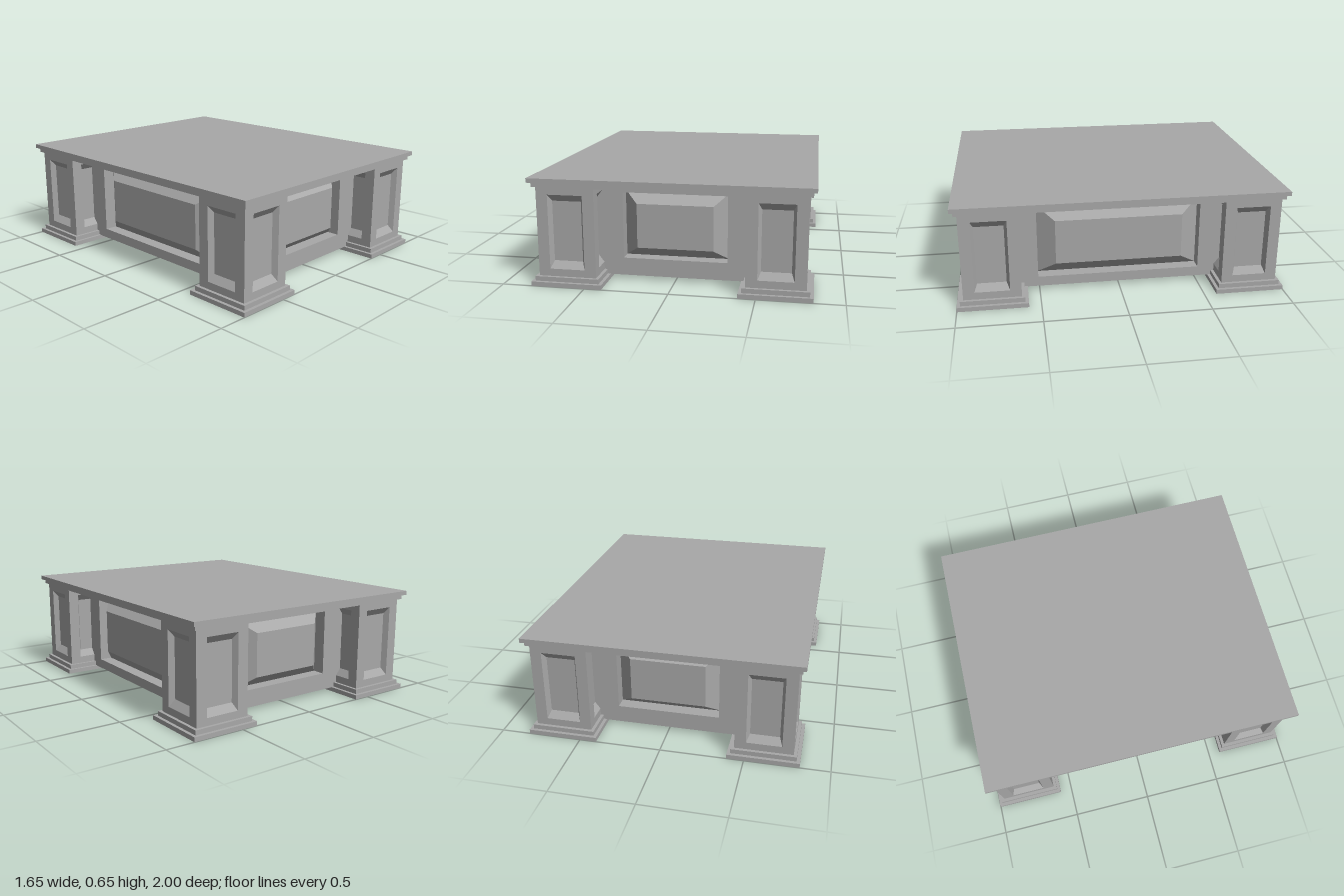
import * as THREE from 'three';

const grey = new THREE.MeshStandardMaterial({ color: 0xa8a8a8, side: THREE.DoubleSide });
grey.name = 'plain grey';

// Flat-faced sheet facing +z, joined from nested rectangles and closed in the middle.
// Each rectangle is [halfWidth, bottom, top, z].
function panelSheet(...rects) {
  const loops = rects.map(([w, b, t, z]) => [[-w, b, z], [w, b, z], [w, t, z], [-w, t, z]]);
  const pos = [];
  const quad = (a, b, c, d) => pos.push(...a, ...b, ...c, ...a, ...c, ...d);
  for (let k = 0; k < loops.length - 1; k++) {
    for (let i = 0; i < 4; i++) {
      const j = (i + 1) % 4;
      quad(loops[k][i], loops[k][j], loops[k + 1][j], loops[k + 1][i]);
    }
  }
  quad(...loops[loops.length - 1]);
  const g = new THREE.BufferGeometry();
  g.setAttribute('position', new THREE.Float32BufferAttribute(pos, 3));
  g.computeVertexNormals();
  return g;
}

function add(parent, name, geometry, x = 0, y = 0, z = 0, turn = 0) {
  const m = new THREE.Mesh(geometry, grey);
  m.name = name;
  m.position.set(x, y, z);
  m.rotation.y = turn;
  parent.add(m);
}

// Rectangular slab between two heights
function slab(parent, name, halfX, halfZ, y0, y1) {
  add(parent, name, new THREE.BoxGeometry(halfX * 2, y1 - y0, halfZ * 2), 0, (y0 + y1) / 2, 0);
}

// Rectangular moulding with an open middle
function ring(parent, name, halfX, halfZ, inX, inZ, y0, y1) {
  const rect = (C, x, z) => {
    const s = new C();
    s.moveTo(-x, -z).lineTo(x, -z).lineTo(x, z).lineTo(-x, z).closePath();
    return s;
  };
  const shape = rect(THREE.Shape, halfX, halfZ);
  shape.holes.push(rect(THREE.Path, inX, inZ));
  const g = new THREE.ExtrudeGeometry(shape, { depth: y1 - y0, bevelEnabled: false });
  g.rotateX(-Math.PI / 2);
  add(parent, name, g, 0, y0, 0);
}

function makeLeg() {
  const leg = new THREE.Group();
  leg.name = 'leg';
  // Stepped foot and matching stepped collar
  slab(leg, 'footLower', 0.2125, 0.2125, 0, 0.027);
  slab(leg, 'footUpper', 0.1925, 0.1925, 0.027, 0.055);
  slab(leg, 'collarLower', 0.1925, 0.1925, 0.595, 0.623);
  slab(leg, 'collarUpper', 0.2125, 0.2125, 0.623, 0.645);
  // Four sides with sunken panels
  const side = panelSheet(
    [0.173, 0.055, 0.595, 0], [0.105, 0.1, 0.548, 0], [0.087, 0.143, 0.506, -0.033]);
  for (let i = 0; i < 4; i++) {
    const a = i * Math.PI / 2;
    add(leg, 'legSide', side, Math.sin(a) * 0.173, 0, Math.cos(a) * 0.173, a);
  }
  return leg;
}

export function createModel() {
  const table = new THREE.Group();
  table.name = 'table';

  // Table top with stepped edge moulding
  slab(table, 'topPlate', 0.823, 1, 0.645, 0.649);
  ring(table, 'upperMoulding', 0.823, 1, 0.609, 0.787, 0.623, 0.645);
  ring(table, 'lowerMoulding', 0.803, 0.98, 0.609, 0.787, 0.595, 0.623);

  // Legs at the four corners
  for (const sx of [-1, 1]) {
    for (const sz of [-1, 1]) {
      const leg = makeLeg();
      leg.position.set(sx * 0.6105, 0, sz * 0.7875);
      table.add(leg);
    }
  }

  // Aprons: a framed opening steps straight in, then a bevelled panel rises back out
  const step = -0.08;
  const shortApron = panelSheet(
    [0.47, 0.025, 0.645, 0], [0.315, 0.133, 0.538, 0], [0.315, 0.133, 0.538, step], [0.23, 0.2, 0.471, 0]);
  const longApron = panelSheet(
    [0.647, 0.025, 0.645, 0], [0.507, 0.087, 0.536, 0], [0.507, 0.087, 0.536, step], [0.395, 0.17, 0.454, 0]);
  add(table, 'frontApron', shortApron, 0, 0, 0.785, 0);
  add(table, 'backApron', shortApron, 0, 0, -0.785, Math.PI);
  add(table, 'leftApron', longApron, 0.607, 0, 0, Math.PI / 2);
  add(table, 'rightApron', longApron, -0.607, 0, 0, -Math.PI / 2);

  return table;
}
